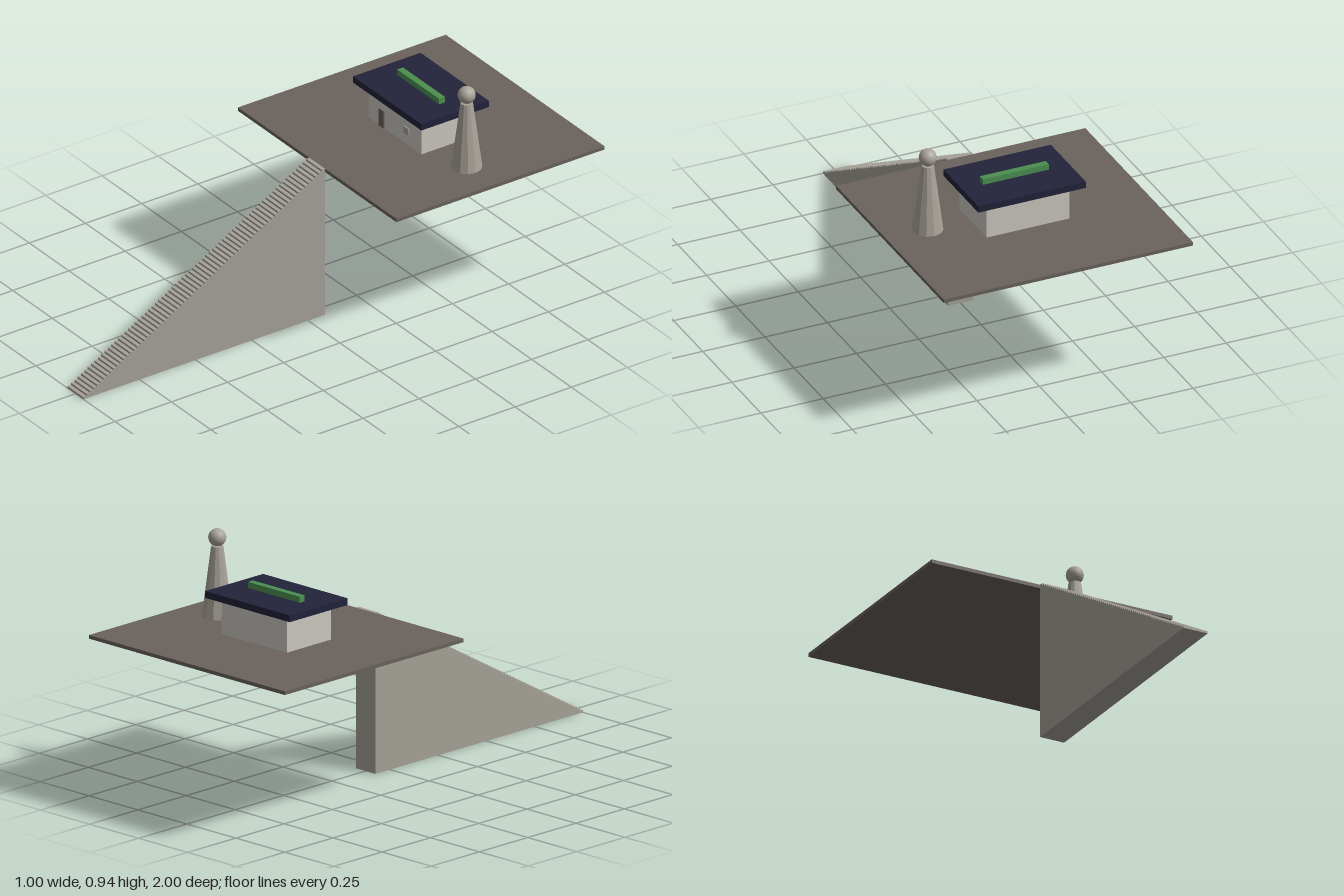
import * as THREE from 'three';

const mat = (name, color, flatShading = false) => {
  const m = new THREE.MeshStandardMaterial({ color });
  m.name = name;
  m.flatShading = flatShading;
  return m;
};

export function createModel() {
  const group = new THREE.Group();
  const stone = mat('pale stone', 0xa5a198);
  const paving = mat('brown paving', 0x6a625d);
  const wall = mat('plaster', 0xcbc7c0);
  const roofing = mat('navy roofing', 0x22223a);
  const green = mat('green ridge', 0x4a9050);
  const doorMat = mat('dark door', 0x69645c);
  const glass = mat('window grey', 0xa7a39c);
  const towerMat = mat('tower stone', 0xa9a49a, true);
  const ballMat = mat('finial stone', 0xa9a49a);

  const add = (name, geometry, material, x = 0, y = 0, z = 0) => {
    const mesh = new THREE.Mesh(geometry, material);
    mesh.name = name;
    mesh.position.set(x, y, z);
    group.add(mesh);
    return mesh;
  };
  // Box given by its extents on each axis
  const box = (name, material, [x0, x1], [y0, y1], [z0, z1]) =>
    add(name, new THREE.BoxGeometry(x1 - x0, y1 - y0, z1 - z0), material,
      (x0 + x1) / 2, (y0 + y1) / 2, (z0 + z1) / 2);

  // Solid staircase: stepped side profile extruded across x
  const steps = 72, top = 0.611, front = 1, back = -0.075, width = 0.1;
  const profile = new THREE.Shape();
  profile.moveTo(-front, 0);
  for (let i = 0; i < steps; i++) {
    const y = top * (i + 1) / steps;
    profile.lineTo(-front + (front - back) * i / steps, y);
    profile.lineTo(-front + (front - back) * (i + 1) / steps, y);
  }
  profile.lineTo(-back, 0);
  const stairs = new THREE.ExtrudeGeometry(profile, { depth: width, bevelEnabled: false });
  stairs.translate(0, 0, -width / 2).rotateY(Math.PI / 2);
  add('staircase', stairs, stone);

  // Raised platform
  box('platform', paving, [-0.5, 0.5], [0.597, top], [-1, back]);

  // House with overhanging slab roof and ridge
  const faceZ = -0.422;
  box('houseWalls', wall, [-0.167, 0.166], [top, 0.745], [-0.652, faceZ]);
  box('roof', roofing, [-0.216, 0.215], [0.745, 0.771], [-0.687, -0.387]);
  box('roofRidge', green, [-0.132, 0.132], [0.771, 0.794], [-0.55, -0.524]);
  box('door', doorMat, [-0.1, -0.067], [top, 0.682], [faceZ, faceZ + 0.004]);
  box('window', glass, [0.057, 0.09], [0.653, 0.681], [faceZ, faceZ + 0.004]);

  // Tapered tower with a ball finial
  const tx = 0.333, tz = -0.505;
  add('tower', new THREE.CylinderGeometry(0.023, 0.0575, 0.268, 12), towerMat, tx, top + 0.134, tz);
  add('towerBall', new THREE.SphereGeometry(0.033, 24, 16), ballMat, tx, 0.911, tz);

  return group;
}
